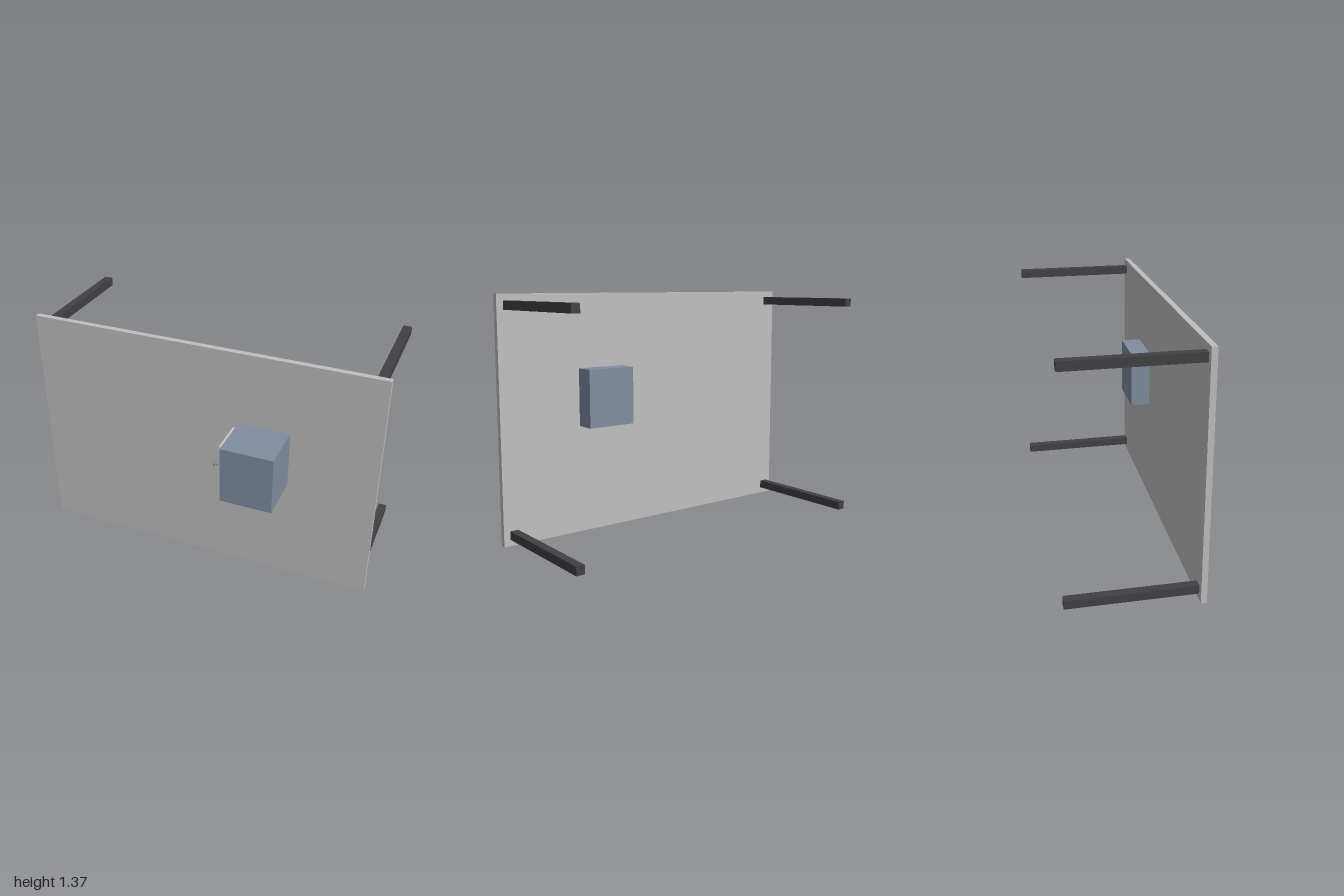
import * as THREE from 'three';

const mat = (name, color) => {
  const m = new THREE.MeshStandardMaterial({ color });
  m.name = name;
  return m;
};

export function createModel() {
  const group = new THREE.Group();
  const boardGrey = mat('board grey', 0xbfbfbf);
  const legBlack = mat('leg charcoal', 0x414145);
  const cabinetBlue = mat('cabinet blue grey', 0x808da0);
  const drawerGrey = mat('drawer pale grey', 0xc8c8c4);

  // Box given by its minimum and maximum corners
  const box = (name, material, [x0, y0, z0], [x1, y1, z1]) => {
    const mesh = new THREE.Mesh(new THREE.BoxGeometry(x1 - x0, y1 - y0, z1 - z0), material);
    mesh.position.set((x0 + x1) / 2, (y0 + y1) / 2, (z0 + z1) / 2);
    mesh.name = name;
    group.add(mesh);
  };

  // Table top standing on its long edge
  box('tableTop', boardGrey, [-1, 0, 0.198], [1, 1.37, 0.23]);

  // Four square legs pointing backwards
  for (const x of [-0.942, 0.938])
    for (const y of [0.06, 1.31])
      box('leg', legBlack, [x - 0.024, y - 0.024, -0.5], [x + 0.024, y + 0.024, 0.198]);

  // Cabinet through the top, with a drawer front on its side
  box('cabinet', cabinetBlue, [0.217, 0.62, 0.085], [0.51, 0.95, 0.5]);
  box('drawerFront', drawerGrey, [0.202, 0.625, 0.27], [0.217, 0.945, 0.475]);

  // Drawer handle: two posts and a round bar
  const handle = new THREE.Group();
  handle.name = 'drawerHandle';
  const rod = (name, radius, length, x, z) => {
    const mesh = new THREE.Mesh(new THREE.CylinderGeometry(radius, radius, length, 16), cabinetBlue);
    mesh.name = name;
    mesh.position.set(x, 0.785, z);
    handle.add(mesh);
    return mesh;
  };
  rod('handleBar', 0.007, 0.106, 0.156, 0.372).rotation.x = Math.PI / 2;
  for (const z of [0.334, 0.41]) rod('handlePost', 0.005, 0.046, 0.179, z).rotation.z = Math.PI / 2;
  group.add(handle);

  return group;
}
